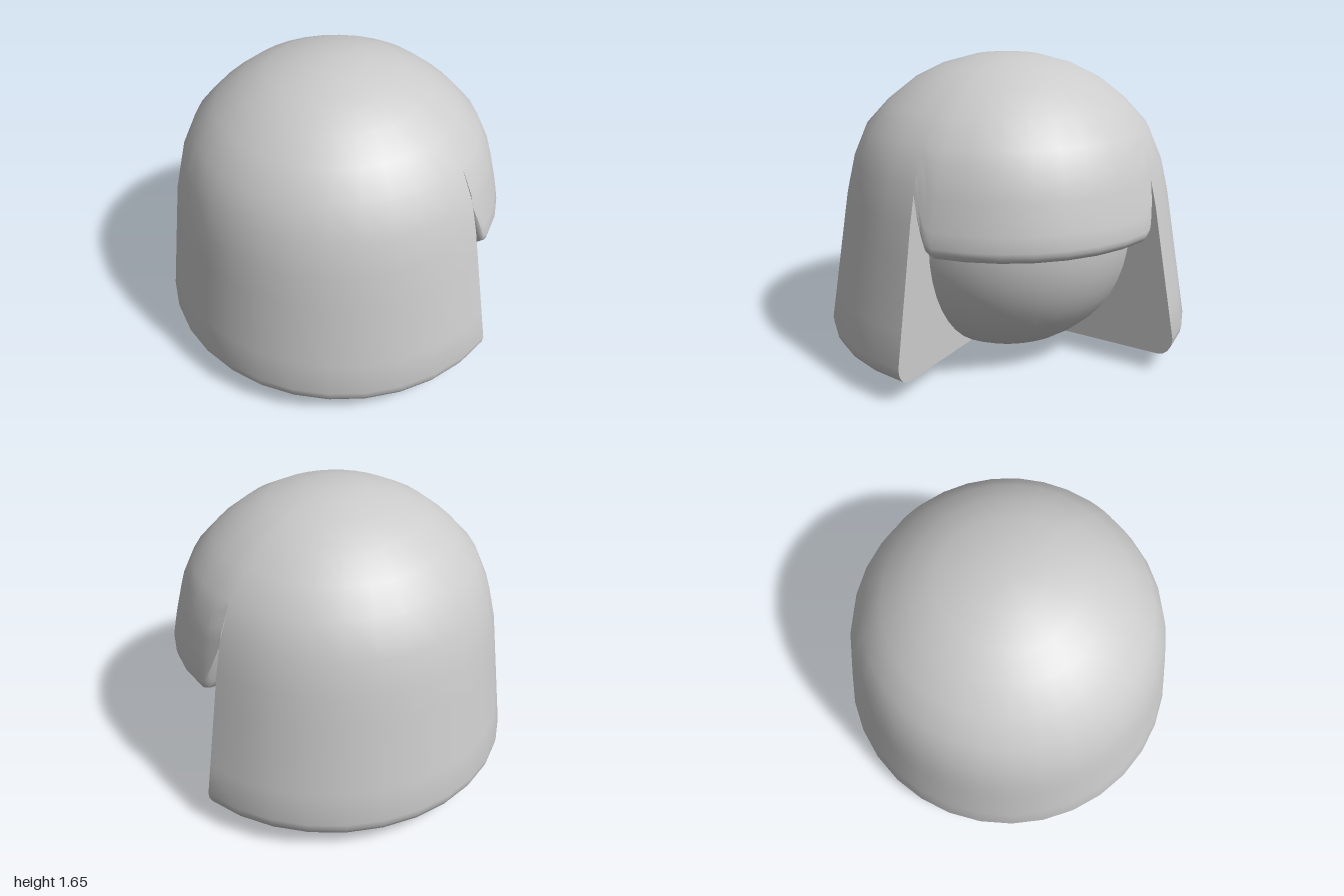
import * as THREE from 'three';
import { toCreasedNormals } from 'three/addons/utils/BufferGeometryUtils.js';

const CX = 0.04, HEAD_R = 0.75, HEAD_Y = 0.75;

// Outer dome profile [radius, y], from the crown down
const DOME = [[0, 1.65], [0.18, 1.635], [0.36, 1.585], [0.51, 1.51], [0.65, 1.4], [0.77, 1.27], [0.84, 1.12], [0.885, 0.94]];

// Outer hair radius at a height: dome above, straight flare below
function outerRadius(y, angle) {
  const last = DOME[DOME.length - 1];
  if (y <= last[1]) {
    const rim = 1.003 + 0.025 * Math.cos(angle);
    return last[0] + (rim - last[0]) * (last[1] - y) / 0.74;
  }
  const i = DOME.findIndex((p) => p[1] <= y);
  const [r0, y0] = DOME[i - 1], [r1, y1] = DOME[i];
  return r0 + (r1 - r0) * (y0 - y) / (y0 - y1);
}

// One radial cross-section: crown, side, rounded lower edge, underside to the head
function section(angle, bottom, round) {
  const pts = DOME.slice(0, 6).map((p) => p.slice());
  const edgeY = bottom + round;
  for (let i = 1; i <= 6; i++) {
    const y = 1.27 + (edgeY - 1.27) * i / 6;
    pts.push([outerRadius(y, angle), y]);
  }
  const edgeR = outerRadius(edgeY, angle);
  for (let i = 1; i <= 4; i++) {
    const t = i / 4 * Math.PI / 2;
    pts.push([edgeR - round * 0.8 * (1 - Math.cos(t)), edgeY - round * Math.sin(t)]);
  }
  const outR = edgeR - round * 0.8;
  const inR = Math.sqrt(HEAD_R ** 2 - (bottom - HEAD_Y) ** 2) - 0.03;
  for (let i = 1; i <= 3; i++) pts.push([outR + (inR - outR) * i / 3, bottom]);
  return pts.map(([r, y]) => [CX + r * Math.cos(angle), y, r * Math.sin(angle)]);
}

function hairGeometry() {
  const rad = THREE.MathUtils.degToRad;
  // [angle, lower edge, edge rounding]: fringe corner, rising into the notch
  const corner = [[37, 0.75, 0.06], [39.5, 0.77, 0.06], [41, 0.82, 0.06], [43, 0.9, 0.06], [45, 0.99, 0.06]];
  const columns = corner.slice().reverse().map(([a, b, r]) => [-a, b, r]);
  for (let i = 1; i < 7; i++) columns.push([-37 + 74 * i / 7, 0.75, 0.06]);
  columns.push(...corner);
  // Long sides and back; the step at 45 degrees forms the end walls
  for (let i = 0; i <= 24; i++) columns.push([45 + 270 * i / 24, 0.1, 0.1]);

  const rows = columns.map(([a, b, r]) => section(rad(a), b, r));
  const n = rows[0].length, index = [];
  rows.forEach((_, c) => {
    const d = (c + 1) % rows.length;
    for (let i = 0; i < n - 1; i++) {
      const a = c * n + i, b = d * n + i;
      if (i > 0) index.push(a, b, a + 1);
      index.push(b, b + 1, a + 1);
    }
  });
  const geo = new THREE.BufferGeometry();
  geo.setAttribute('position', new THREE.Float32BufferAttribute(rows.flat(2), 3));
  geo.setIndex(index);
  return toCreasedNormals(geo, rad(42));
}

export function createModel() {
  const group = new THREE.Group();
  group.name = 'headWithHair';

  const head = new THREE.Mesh(
    new THREE.SphereGeometry(HEAD_R, 32, 24),
    new THREE.MeshStandardMaterial({ color: 0xcccccc }));
  head.name = 'head';
  head.position.set(CX, HEAD_Y, 0);
  group.add(head);

  const hair = new THREE.Mesh(
    hairGeometry(),
    new THREE.MeshStandardMaterial({ color: 0xcccccc, side: THREE.DoubleSide }));
  hair.name = 'hair';
  group.add(hair);
  return group;
}
